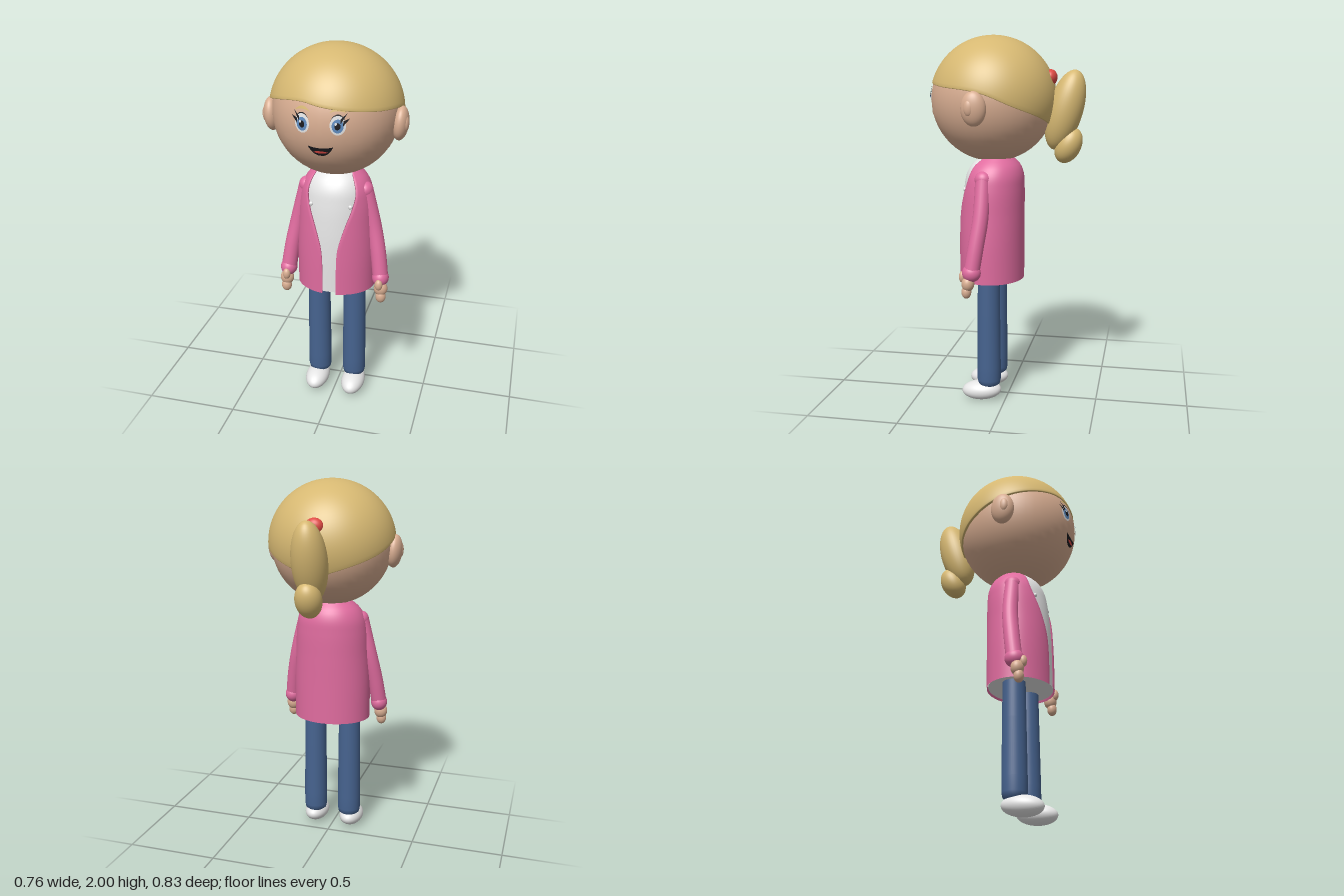
import * as THREE from 'three';

const mat = (name, color) => {
  const m = new THREE.MeshStandardMaterial({ color });
  m.name = name;
  return m;
};
const skin = mat('skin', 0xd9ae92), hair = mat('blonde hair', 0xd6b872), pink = mat('pink jacket', 0xe06c9f);
const white = mat('white', 0xe6e6e6), denim = mat('denim', 0x46638f), red = mat('red', 0xdd4a44);
const black = mat('black', 0x1a1a1e), iris = mat('iris blue', 0x5f8cc0);

// Head ellipsoid shared by the skull, hair and face plates
const HEAD = { y: 1.665, z: 0.08, rx: 0.325, ry: 0.33, rz: 0.332 };

function add(parent, name, geometry, material) {
  const mesh = new THREE.Mesh(geometry, material);
  mesh.name = name;
  parent.add(mesh);
  return mesh;
}

function ellipsoid(parent, name, material, pos, radii, rotX = 0, rotZ = 0) {
  const mesh = add(parent, name, new THREE.SphereGeometry(1, 40, 28), material);
  mesh.position.set(...pos);
  mesh.scale.set(...radii);
  mesh.rotation.set(rotX, 0, rotZ);
  return mesh;
}

// Surface of nu x nv cells from f(i, j) -> [x, y, z]; optionally closed around i
function grid(nu, nv, f, closed = false) {
  const cols = closed ? nu : nu + 1, pos = [], index = [];
  for (let j = 0; j <= nv; j++) for (let i = 0; i < cols; i++) pos.push(...f(i, j));
  for (let j = 0; j < nv; j++) for (let i = 0; i < nu; i++) {
    const k = (i + 1) % cols, a = j * cols + i, b = j * cols + k, c = b + cols, d = a + cols;
    index.push(a, b, c, a, c, d);
  }
  const g = new THREE.BufferGeometry();
  g.setAttribute('position', new THREE.Float32BufferAttribute(pos, 3));
  g.setIndex(index);
  g.computeVertexNormals();
  return g;
}

// Smooth interpolation of rows [key, ...values]
function smoothTable(rows) {
  const n = rows[0].length - 1;
  const it = new THREE.CubicInterpolant(rows.map(r => r[0]), rows.flatMap(r => r.slice(1)), n, new Array(n));
  return t => Array.from(it.evaluate(t));
}

// Thin plate moulded on the face between two edge curves of u in -1..1
function facePlate(parent, name, material, side, cx, w, top, bottom, lift) {
  const n = 28, m = 6;
  add(parent, name, grid(n, m, (i, j) => {
    const u = -Math.cos(Math.PI * i / n), s = side * u;
    const x = side * cx + u * w;
    const y = THREE.MathUtils.lerp(bottom(s), top(s), j / m);
    const k = 1 - (x / HEAD.rx) ** 2 - ((y - HEAD.y) / HEAD.ry) ** 2;
    return [x, y, HEAD.z + HEAD.rz * Math.sqrt(Math.max(0, k)) + lift];
  }), material);
}
const faceOval = (parent, name, material, side, cx, cy, w, h, lift) => {
  const arc = u => h * Math.sqrt(Math.max(0, 1 - u * u));
  facePlate(parent, name, material, side, cx, w, u => cy + arc(u), u => cy - arc(u), lift);
};

function makeHead() {
  const head = new THREE.Group();
  head.name = 'head';
  ellipsoid(head, 'skull', skin, [0, HEAD.y, HEAD.z], [HEAD.rx, HEAD.ry, HEAD.rz]);

  // Hair cap with a swept fringe and a thick lower rim
  const hairline = smoothTable([[-180, 1.525], [-120, 1.635], [-90, 1.7], [-45, 1.765], [-17, 1.783], [0, 1.768],
    [17, 1.755], [45, 1.738], [90, 1.705], [120, 1.635], [180, 1.525]]);
  const nu = 96, nv = 30;
  add(head, 'hairCap', grid(nu, nv, (i, j) => {
    const deg = -180 + 360 * i / nu, a = THREE.MathUtils.degToRad(deg);
    const e0 = Math.asin((hairline(deg)[0] - HEAD.y) / 0.335);
    const e = THREE.MathUtils.lerp(e0, Math.PI / 2, Math.max(0, j - 2) / (nv - 2));
    const s = j === 0 ? 0.93 : j === 1 ? 0.99 : 1, r = Math.cos(e) * s;
    return [0.343 * r * Math.sin(a), HEAD.y + 0.335 * Math.sin(e) - (j === 1 ? 0.004 : 0), HEAD.z + 0.338 * r * Math.cos(a)];
  }, true), hair);

  // Ponytail
  ellipsoid(head, 'ponytailUpper', hair, [0, 1.61, -0.305], [0.092, 0.217, 0.094], -0.28);
  ellipsoid(head, 'ponytailLower', hair, [0, 1.425, -0.325], [0.07, 0.1, 0.068], -0.45);
  ellipsoid(head, 'hairTie', red, [0, 1.78, -0.228], [0.048, 0.042, 0.034]);

  for (const s of [-1, 1]) {
    // Ears
    ellipsoid(head, 'ear', skin, [s * 0.333, 1.627, 0.115], [0.041, 0.088, 0.065], 0, -s * 0.08);
    ellipsoid(head, 'earInner', skin, [s * 0.36, 1.632, 0.132], [0.018, 0.042, 0.026]);
    // Eyes
    faceOval(head, 'eyeWhite', white, s, 0.087, 1.683, 0.037, 0.047, 0.003);
    faceOval(head, 'iris', iris, s, 0.087, 1.68, 0.027, 0.033, 0.005);
    faceOval(head, 'pupil', black, s, 0.087, 1.68, 0.014, 0.017, 0.007);
    faceOval(head, 'eyeGlint', white, 1, s * 0.087 - 0.008, 1.692, 0.006, 0.007, 0.009);
    // Upper lid line and lashes
    const lid = u => 1.683 + 0.047 * Math.sqrt(Math.max(0, 1 - u * u));
    facePlate(head, 'lidLine', black, s, 0.087, 0.038, u => lid(u) + 0.006 * (1 - u * u), lid, 0.005);
    for (const [x, y, rise] of [[0.127, 1.705, 0.012], [0.115, 1.722, 0.02]]) {
      facePlate(head, 'lash', black, s, x, 0.015,
        u => y + rise * u + 0.006 * (1 - u), u => y + rise * u - 0.006 * (1 - u), 0.006);
    }
    // Brows and cheeks
    const brow = u => 1.757 - 0.016 * u * u;
    facePlate(head, 'brow', hair, s, 0.085, 0.04, u => brow(u) + 0.007 * (1 - u * u), u => brow(u) - 0.007 * (1 - u * u), 0.005);
    faceOval(head, 'cheek', skin, s, 0.16, 1.6, 0.036, 0.018, 0.004);
  }

  // Open smiling mouth
  facePlate(head, 'mouth', black, 1, 0, 0.063, u => 1.564 + 0.009 * u * u, u => 1.521 + 0.052 * Math.abs(u) ** 2.5, 0.004);
  facePlate(head, 'tongue', red, 1, 0, 0.038, u => 1.549 - 0.006 * u * u, u => 1.535 + 0.008 * u * u, 0.007);
  return head;
}

function makeTorso() {
  const torso = new THREE.Group();
  torso.name = 'torso';
  // Height, half width, half depth, centre z
  const body = smoothTable([[0.69, 0.212, 0.176, 0.09], [0.9, 0.212, 0.176, 0.09], [1.05, 0.205, 0.174, 0.087],
    [1.2, 0.195, 0.167, 0.08], [1.27, 0.18, 0.157, 0.075], [1.32, 0.15, 0.132, 0.07], [1.355, 0.11, 0.095, 0.065]]);
  // Half width of the jacket opening by height
  const opening = smoothTable([[0.69, 0.038], [0.8, 0.038], [0.95, 0.046], [1.08, 0.083], [1.17, 0.115], [1.25, 0.13], [1.31, 0.115], [1.355, 0.09]]);
  const point = (y, a, s) => {
    const [rx, rz, cz] = body(y);
    return [rx * s * Math.sin(a), y, cz + rz * s * Math.cos(a)];
  };
  const rows = 40, arc = 60, n = 2 * (arc + 1);

  // Shirt with a flat underside
  add(torso, 'shirt', grid(64, rows, (i, j) => point(0.7 + 0.65 * j / rows, i / 64 * Math.PI * 2, 0.95), true), white);
  const base = add(torso, 'shirtUnderside', new THREE.CircleGeometry(1, 64), white);
  base.scale.set(0.2014, 0.1672, 1);
  base.rotation.x = Math.PI / 2;
  base.position.set(0, 0.7, 0.09);

  // Jacket shell: outer arc, then the inner arc back to the opening
  add(torso, 'jacket', grid(n, rows, (i, j) => {
    const y = 0.69 + 0.665 * j / rows;
    const a = Math.asin(Math.min(0.95, opening(y)[0] / body(y)[0]));
    const outer = i <= arc, t = outer ? i / arc : 1 - (i - arc - 1) / arc;
    const s = outer ? 1 : j === 0 || j === rows ? 0.99 : 0.955;
    return point(y, THREE.MathUtils.lerp(a, 2 * Math.PI - a, t), s);
  }, true), pink);

  for (const s of [-1, 1]) {
    const a = Math.asin(s * 0.107 / 0.195);
    ellipsoid(torso, 'button', white, point(1.19, a, 0.97), [0.011, 0.011, 0.009]);
  }
  const neck = add(torso, 'neck', new THREE.CylinderGeometry(0.085, 0.085, 0.1, 32), skin);
  neck.position.set(0, 1.34, 0.07);
  return torso;
}

function makeArm(s) {
  const arm = new THREE.Group();
  arm.name = s > 0 ? 'leftArm' : 'rightArm';
  const path = new THREE.CatmullRomCurve3([[0.158, 1.25, 0.105], [0.207, 1.05, 0.11], [0.238, 0.9, 0.13], [0.257, 0.765, 0.15]]
    .map(([x, y, z]) => new THREE.Vector3(s * x, y, z)));
  add(arm, 'sleeve', new THREE.TubeGeometry(path, 32, 0.042, 24), pink);
  ellipsoid(arm, 'shoulder', pink, [s * 0.158, 1.25, 0.105], [0.042, 0.045, 0.046]);
  ellipsoid(arm, 'cuff', pink, [s * 0.257, 0.767, 0.15], [0.045, 0.048, 0.05]);
  // Hand with thumb and fingers
  ellipsoid(arm, 'palm', skin, [s * 0.263, 0.71, 0.168], [0.037, 0.042, 0.034]);
  ellipsoid(arm, 'fingers', skin, [s * 0.265, 0.665, 0.176], [0.028, 0.036, 0.026]);
  ellipsoid(arm, 'thumb', skin, [s * 0.257, 0.745, 0.198], [0.021, 0.031, 0.02]);
  return arm;
}

function makeLeg(s) {
  const leg = new THREE.Group();
  leg.name = s > 0 ? 'leftLeg' : 'rightLeg';
  const profile = [[0, 0.085], [0.045, 0.088], [0.06, 0.1], [0.065, 0.125], [0.065, 0.2], [0.062, 0.5], [0.06, 0.72]];
  const trouser = add(leg, 'trouserLeg',
    new THREE.LatheGeometry(profile.map(([r, y]) => new THREE.Vector2(r, y)), 40), denim);
  trouser.position.set(s * 0.101, 0, 0.09);
  ellipsoid(leg, 'shoe', white, [s * 0.106, 0.056, 0.132], [0.066, 0.054, 0.111], 0.08);
  return leg;
}

export function createModel() {
  const model = new THREE.Group();
  model.name = 'girl';
  model.add(makeHead(), makeTorso());
  for (const s of [-1, 1]) model.add(makeArm(s), makeLeg(s));
  return model;
}
